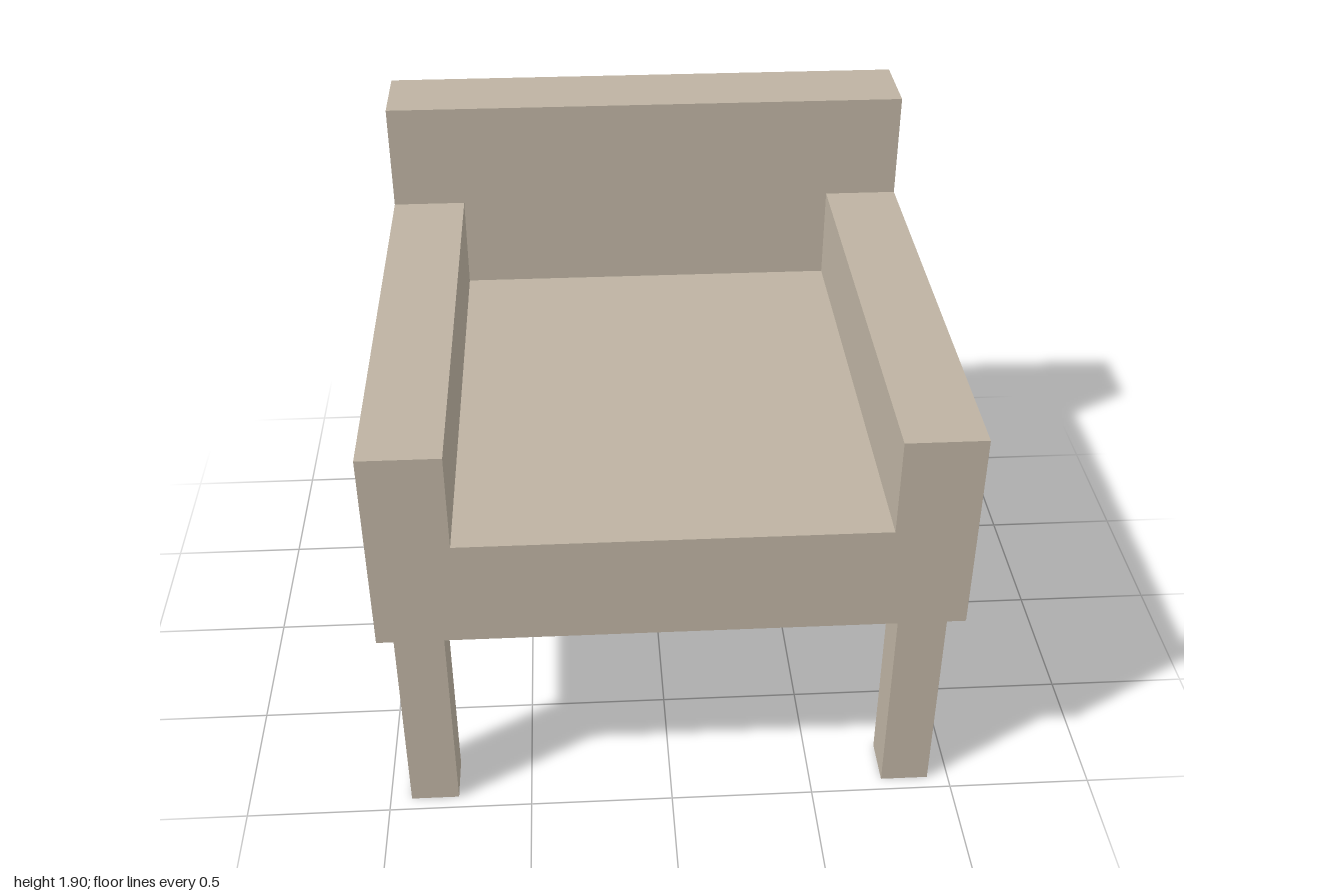
import * as THREE from 'three';

export function createModel() {
  const model = new THREE.Group();
  model.name = 'armchair';
  const beige = new THREE.MeshStandardMaterial({ color: 0xbdb2a2 });
  beige.name = 'beige';

  const W = 0.975, INNER = 0.707;            // half widths: outside, between the arms
  const BASE = 0.785, SEAT = 1.17, ARM = 1.515, TOP = 1.905;
  const BACK_Z = -0.71;                      // front face of the backrest

  const add = (name, geometry, x = 0, y = 0, z = 0) => {
    const mesh = new THREE.Mesh(geometry, beige);
    mesh.name = name;
    mesh.position.set(x, y, z);
    model.add(mesh);
  };

  // Seat and both arms: one U-shaped section run from the backrest to the front
  const section = new THREE.Shape([
    [-W, BASE], [W, BASE], [W, ARM], [INNER, ARM],
    [INNER, SEAT], [-INNER, SEAT], [-INNER, ARM], [-W, ARM],
  ].map(([x, y]) => new THREE.Vector2(x, y)));
  add('seatAndArms',
    new THREE.ExtrudeGeometry(section, { depth: 1 - BACK_Z, bevelEnabled: false }),
    0, 0, BACK_Z);

  // Backrest
  add('backrest', new THREE.BoxGeometry(2 * W, TOP - BASE, 1 + BACK_Z),
    0, (TOP + BASE) / 2, (BACK_Z - 1) / 2);

  // Four square legs
  const leg = new THREE.BoxGeometry(0.167, BASE, 0.167);
  for (const [side, x] of [['Left', 0.842], ['Right', -0.842]]) {
    for (const [end, z] of [['front', 0.867], ['back', -0.867]]) {
      add(`${end}${side}Leg`, leg, x, BASE / 2, z);
    }
  }
  return model;
}
